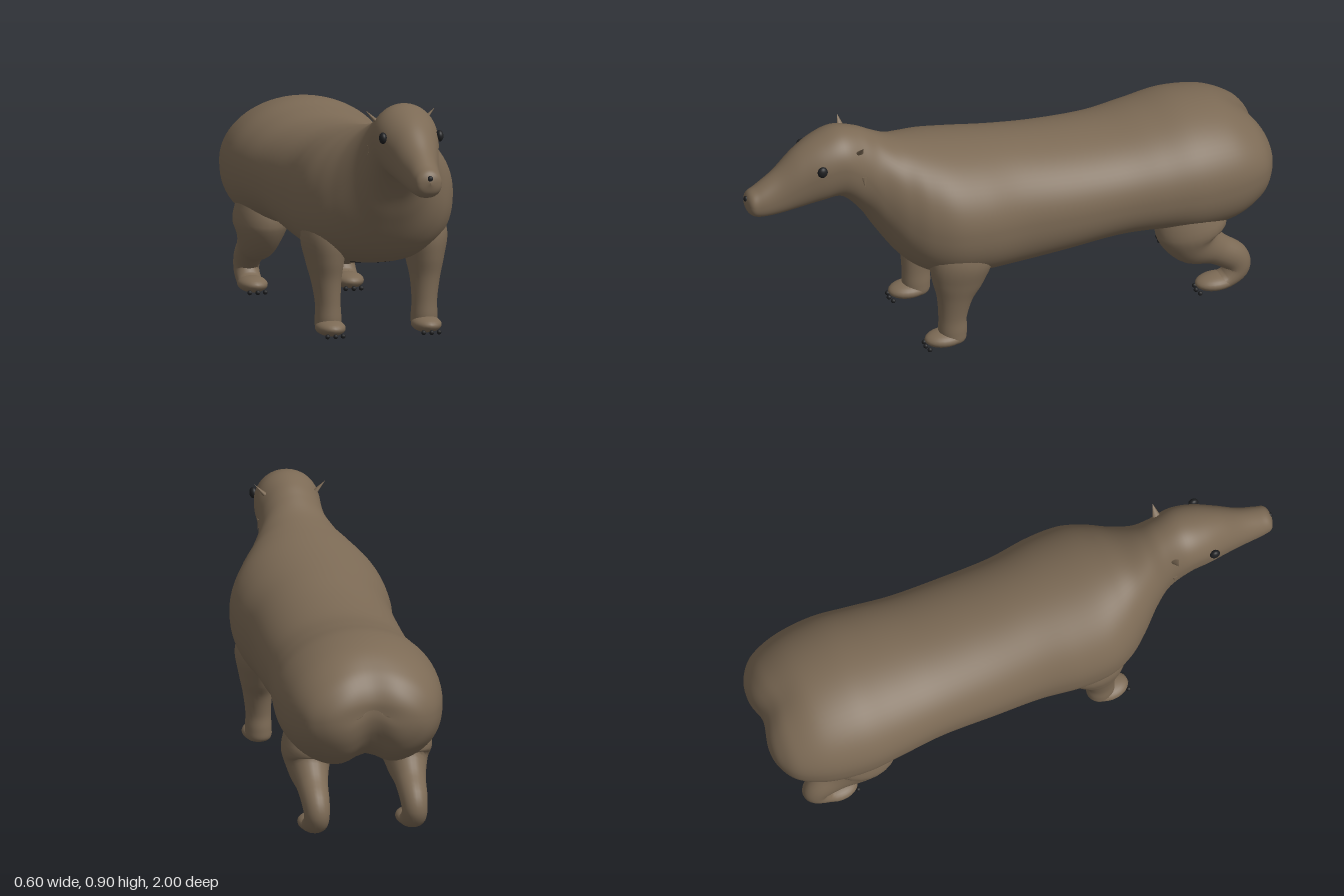
import * as THREE from 'three';

const fur = new THREE.MeshStandardMaterial({ color: 0x7c6a55 });
fur.name = 'brownFur';
const dark = new THREE.MeshStandardMaterial({ color: 0x0e0e0f });
dark.name = 'darkBelly';
const horn = new THREE.MeshStandardMaterial({ color: 0x1e1f21 });
horn.name = 'darkHorn';

// Skin a grid of points: point(t, angle) for rings along t = 0..1.
// Faces whose centre passes isSecond go into a second material group.
function loft(rings, sides, point, isSecond = () => false) {
  const pts = [];
  for (let i = 0; i <= rings; i++)
    for (let j = 0; j < sides; j++) pts.push(point(i / rings, (j / sides) * Math.PI * 2));
  const groups = [[], []];
  for (let i = 0; i < rings; i++) {
    for (let j = 0; j < sides; j++) {
      const a = i * sides + j, b = i * sides + (j + 1) % sides;
      const c = a + sides, d = b + sides;
      const mid = pts[a].clone().add(pts[d]).multiplyScalar(0.5);
      groups[isSecond(mid) ? 1 : 0].push(a, b, c, b, d, c);
    }
  }
  const g = new THREE.BufferGeometry().setFromPoints(pts);
  g.setIndex([...groups[0], ...groups[1]]);
  g.addGroup(0, groups[0].length, 0);
  g.addGroup(groups[0].length, groups[1].length, 1);
  g.computeVertexNormals();
  return g;
}

const curve = (list) => new THREE.CatmullRomCurve3(
  list.map((p) => new THREE.Vector3(...p)), false, 'catmullrom', 0.5);
const spow = (v, p) => Math.sign(v) * Math.abs(v) ** p;

// Trunk, neck and head: z, top, bottom, half width, height of widest point
const BODY = [
  [-0.995, 0.50, 0.49, 0.0, 0.495], [-0.995, 0.55, 0.43, 0.13, 0.49],
  [-0.97, 0.605, 0.365, 0.2, 0.48], [-0.92, 0.655, 0.305, 0.25, 0.48],
  [-0.82, 0.705, 0.255, 0.287, 0.48], [-0.68, 0.722, 0.25, 0.302, 0.48],
  [-0.54, 0.705, 0.275, 0.29, 0.48], [-0.38, 0.69, 0.28, 0.273, 0.48],
  [-0.18, 0.702, 0.26, 0.27, 0.48], [0.0, 0.727, 0.245, 0.27, 0.49],
  [0.15, 0.75, 0.248, 0.288, 0.5], [0.27, 0.772, 0.262, 0.285, 0.51],
  [0.36, 0.79, 0.295, 0.25, 0.52], [0.43, 0.81, 0.355, 0.2, 0.55],
  [0.5, 0.848, 0.455, 0.145, 0.63], [0.56, 0.88, 0.55, 0.12, 0.72],
  [0.64, 0.9, 0.63, 0.117, 0.78], [0.72, 0.88, 0.628, 0.107, 0.77],
  [0.8, 0.838, 0.614, 0.085, 0.73], [0.88, 0.77, 0.602, 0.064, 0.68],
  [0.95, 0.722, 0.602, 0.053, 0.66], [0.985, 0.7, 0.62, 0.042, 0.66],
  [1.0, 0.666, 0.66, 0.0, 0.663],
];

function bodyGeometry() {
  const outline = curve(BODY.map(([z, top, low]) => [z, top, low]));
  const girth = curve(BODY.map(([, , , w, mid]) => [w, mid, 0]));
  const point = (t, angle) => {
    const o = outline.getPoint(t), g = girth.getPoint(t);
    const c = Math.cos(angle), s = Math.sin(angle);
    const p = s < 0 ? 0.84 : 1;
    const x = Math.max(g.x, 0) * spow(c, p);
    let y = g.y + spow(s, p) * (s > 0 ? o.y - g.y : g.y - o.z);
    let z = o.x;
    // cleft between the haunches
    const cleft = Math.exp(-((x / 0.07) ** 2));
    z += 0.02 * cleft * THREE.MathUtils.smoothstep(-z, 0.8, 0.98);
    if (s < 0) y += 0.05 * cleft * -s * THREE.MathUtils.smoothstep(-z, 0.62, 0.8);
    return new THREE.Vector3(x, y, z);
  };
  // dark patch along the belly, wider towards the chest
  const belly = ({ x, y, z }) => y < 0.34 && z > -0.76 && z < 0.27 &&
    Math.abs(x) < 0.045 + 0.05 * THREE.MathUtils.smoothstep(z, -0.35, 0.05);
  return loft(140, 72, point, belly);
}

// Limb along a path of [x, y, z, side radius, fore-aft radius]
function limbGeometry(list) {
  const path = curve(list.map((p) => p.slice(0, 3)));
  const radii = curve(list.map((p) => [p[3], p[4], 0]));
  return loft(40, 24, (t, angle) => {
    const tan = path.getTangent(t);
    const n = new THREE.Vector3(0, tan.z, -tan.y).normalize();
    const r = radii.getPoint(t);
    const q = path.getPoint(t).addScaledVector(n, Math.max(r.y, 0) * Math.sin(angle));
    q.x += Math.max(r.x, 0) * Math.cos(angle);
    return q;
  });
}

const FRONT_LEG = [
  [0.185, 0.46, 0.2, 0.06, 0.1], [0.187, 0.36, 0.23, 0.083, 0.12],
  [0.187, 0.27, 0.245, 0.068, 0.098], [0.185, 0.2, 0.255, 0.054, 0.068],
  [0.181, 0.12, 0.262, 0.046, 0.053], [0.18, 0.06, 0.262, 0.048, 0.053],
  [0.18, 0.02, 0.262, 0.042, 0.045], [0.18, 0.006, 0.262, 0.0, 0.0],
];
const HIND_LEG = [
  [0.17, 0.4, -0.66, 0.08, 0.1], [0.175, 0.29, -0.665, 0.1, 0.135],
  [0.18, 0.225, -0.685, 0.078, 0.1], [0.18, 0.175, -0.755, 0.058, 0.062],
  [0.18, 0.125, -0.825, 0.05, 0.056], [0.18, 0.078, -0.84, 0.046, 0.05],
  [0.18, 0.042, -0.805, 0.046, 0.036], [0.18, 0.03, -0.76, 0.045, 0.026],
  [0.18, 0.026, -0.74, 0.0, 0.0],
];

function add(parent, name, geometry, material, pos = [0, 0, 0], scale = [1, 1, 1]) {
  const m = new THREE.Mesh(geometry, material);
  m.name = name;
  m.position.set(...pos);
  m.scale.set(...scale);
  parent.add(m);
  return m;
}

export function createModel() {
  const model = new THREE.Group();
  model.name = 'animal';
  const ball = new THREE.SphereGeometry(1, 24, 16);
  const bead = new THREE.SphereGeometry(1, 10, 8);
  const cone = new THREE.ConeGeometry(1, 1, 12);
  const frontLeg = limbGeometry(FRONT_LEG);
  const hindLeg = limbGeometry(HIND_LEG);

  add(model, 'body', bodyGeometry(), [fur, dark]);
  add(model, 'nose', bead, horn, [0, 0.678, 0.994], [0.01, 0.011, 0.008]);

  for (const side of [1, -1]) {
    const label = side > 0 ? 'left' : 'right';

    // legs: mirrored by rebuilding the path on the other side
    const shift = side > 0 ? 0 : -0.36;
    const pair = side > 0 ? [frontLeg, hindLeg] : [FRONT_LEG, HIND_LEG].map((l) =>
      limbGeometry(l.map(([x, ...rest]) => [-x, ...rest])));
    add(model, label + 'FrontLeg', pair[0], fur);
    add(model, label + 'HindLeg', pair[1], fur);

    // paws with three claws each
    for (const [end, z, len] of [['Front', 0.292, 0.076], ['Hind', -0.758, 0.076]]) {
      add(model, label + end + 'Paw', ball, fur, [0.18 + shift, 0.034, z], [0.054, 0.03, len]);
      for (const k of [-1, 0, 1])
        add(model, label + end + 'Claw', bead, horn,
          [0.18 + shift + k * 0.029, 0.012, z + 0.074 - Math.abs(k) * 0.005], [0.009, 0.009, 0.009]);
    }

    // eye, pointed ear and the small fold of skin below it
    add(model, label + 'Eye', ball, horn, [side * 0.106, 0.792, 0.737], [0.014, 0.021, 0.019]);
    const ear = add(model, label + 'Ear', cone, fur,
      [side * 0.112, 0.853, 0.588], [0.008, 0.052, 0.015]);
    ear.rotation.z = -side * 0.75;
    const fold = add(model, label + 'NeckFold', cone, fur,
      [side * 0.118, 0.722, 0.578], [0.006, 0.04, 0.012]);
    fold.rotation.z = side * (Math.PI + 0.15);
  }
  return model;
}
